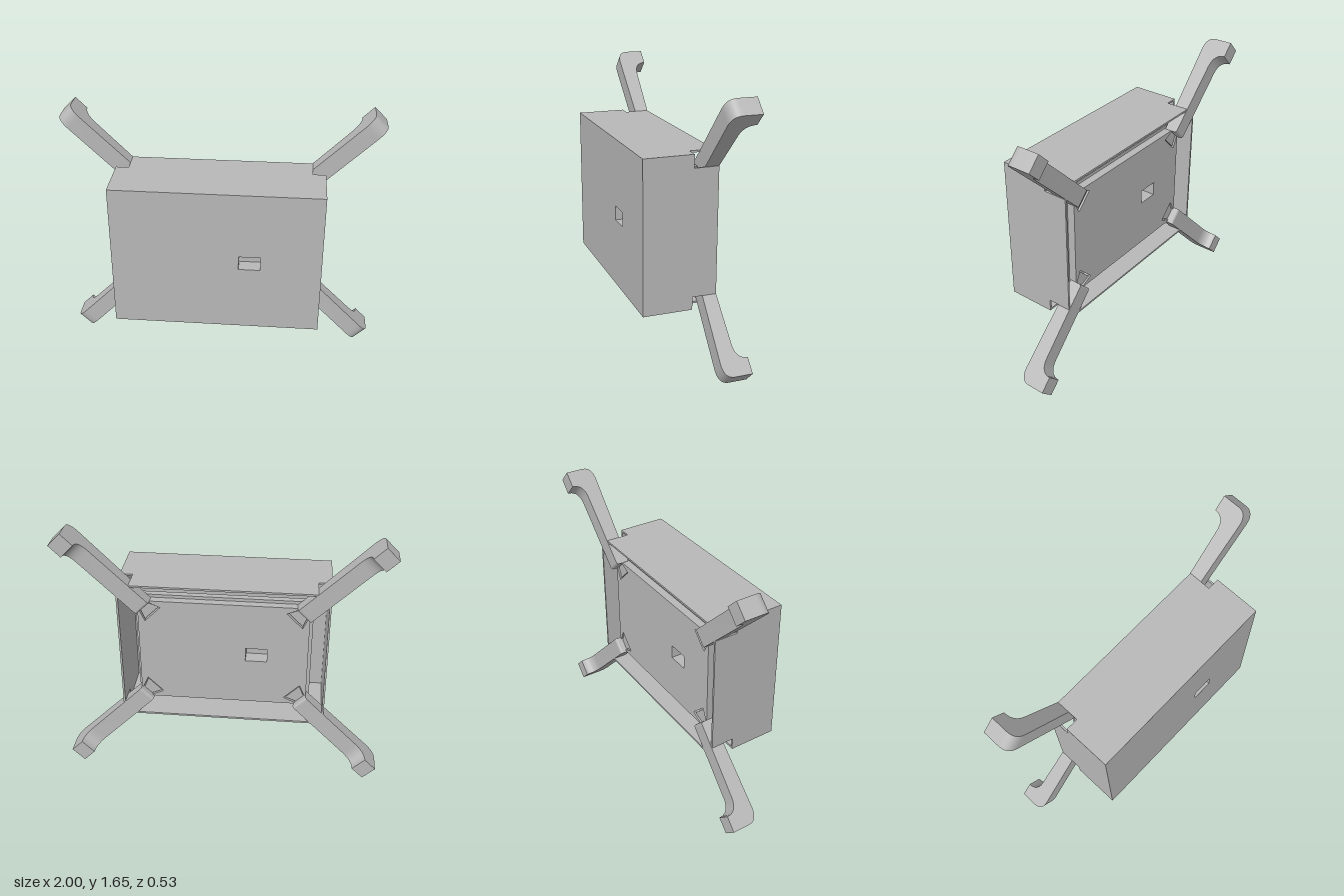
import * as THREE from 'three';
import { toCreasedNormals } from 'three/addons/utils/BufferGeometryUtils.js';

const CY = 0.83;             // height of the centre
const W = 0.645, H = 0.47;   // half width and half height of the case
const FRONT = 0.265, BACK = -0.19, T = 0.012;

const shapeOf = (pts) => new THREE.Shape(pts.map(([x, y]) => new THREE.Vector2(x, y)));
const pathOf = (pts) => new THREE.Path(pts.map(([x, y]) => new THREE.Vector2(x, y)));
const rect = (x, y, hw, hh) => [[x - hw, y - hh], [x + hw, y - hh], [x + hw, y + hh], [x - hw, y + hh]];
const extrude = (shape, depth) =>
  new THREE.ExtrudeGeometry(shape, { depth, bevelEnabled: false, curveSegments: 10 });

export function createModel() {
  const model = new THREE.Group();
  model.name = 'enclosureWithLegs';
  const grey = new THREE.MeshStandardMaterial({ color: 0xb8b8b8 });
  grey.name = 'grey';
  const add = (name, geo, x, y, z, parent = model) => {
    const mesh = new THREE.Mesh(geo, grey);
    mesh.name = name;
    mesh.position.set(x, y, z);
    parent.add(mesh);
    return mesh;
  };

  // Case walls, notched at the open back corners
  const wall = (half) => {
    const n = half - 0.08;
    return extrude(shapeOf([
      [-half, FRONT], [-half, -0.04], [-n, -0.04], [-n, BACK],
      [n, BACK], [n, -0.04], [half, -0.04], [half, FRONT],
    ]), T).rotateX(Math.PI / 2);
  };
  add('topWall', wall(W), 0, CY + H, 0);
  add('bottomWall', wall(W), 0, CY - H + T, 0);
  const side = wall(H).rotateZ(-Math.PI / 2);
  add('leftWall', side, W, CY, 0);
  add('rightWall', side, -W + T, CY, 0);

  // Front wall with its connector opening
  const front = shapeOf(rect(0, 0, W, H));
  front.holes.push(pathOf(rect(0.205, 0.002, 0.067, 0.045)));
  add('frontWall', extrude(front, T), 0, CY, FRONT - T);

  // Recessed sockets: a short sleeve closed by a floor with two pin holes
  const sleeve = shapeOf(rect(0, 0, 0.079, 0.057));
  sleeve.holes.push(pathOf(rect(0, 0, 0.067, 0.045)));
  const floor = shapeOf(rect(0, 0, 0.079, 0.057));
  for (const x of [-0.052, 0.017]) {
    floor.holes.push(new THREE.Path().absarc(x, 0, 0.008, 0, Math.PI * 2, true));
  }
  add('frontSocketSleeve', extrude(sleeve, 0.08), 0.205, CY + 0.002, FRONT - T - 0.08);
  add('frontSocketFloor', extrude(floor, 0.01), 0.205, CY + 0.002, FRONT - T - 0.09);

  // Back panel with an opening and dovetail slots in its corners
  const PW = 0.525, PH = 0.35;
  const dovetail = (cx, cy, grow) => {
    const a = Math.atan2(cy, cx) > 0 ? (cx > 0 ? 1 : 3) : (cx > 0 ? -1 : -3);
    const c = Math.cos(a * Math.PI / 4), s = Math.sin(a * Math.PI / 4);
    return [[-0.05, -0.035 - grow], [-0.05, 0.035 + grow], [-0.125 - grow, 0.065 + grow], [-0.125 - grow, -0.065 - grow]]
      .map(([u, v]) => [cx + u * c - v * s, cy + u * s + v * c]);
  };
  const corners = [[1, 1], [-1, 1], [-1, -1], [1, -1]];
  const opening = rect(-0.205, 0.002, 0.067, 0.045);
  const panel = shapeOf(rect(0, 0, PW, PH));
  panel.holes.push(pathOf(opening));
  for (const [sx, sy] of corners) panel.holes.push(pathOf(dovetail(sx * PW, sy * PH, 0.004)));
  add('backPanel', extrude(panel, 0.05), 0, CY, -0.15);

  // Slightly wider step in front of the back panel
  const step = shapeOf(rect(0, 0, PW + 0.02, PH + 0.02));
  step.holes.push(pathOf(opening));
  add('backPanelStep', extrude(step, 0.04), 0, CY, -0.1);
  add('backSocketFloor', extrude(floor, 0.01), -0.205, CY + 0.002, -0.06);

  // Leg profile: u runs outward to the tip, the foot turns to the back
  const profile = new THREE.Shape();
  profile.moveTo(-0.67, -0.108);
  profile.lineTo(-0.67, -0.175);
  profile.quadraticCurveTo(-0.67, -0.19, -0.65, -0.19);
  profile.lineTo(-0.19, -0.195);
  profile.quadraticCurveTo(-0.1, -0.198, -0.1, -0.27);
  profile.lineTo(0, -0.27);
  profile.lineTo(0, -0.16);
  profile.quadraticCurveTo(0, -0.095, -0.085, -0.095);
  profile.closePath();
  const legGeo = toCreasedNormals(
    extrude(profile, 0.11).translate(0, 0, -0.055).rotateX(Math.PI / 2), 0.6);

  corners.forEach(([sx, sy], i) => {
    const leg = new THREE.Group();
    leg.name = 'leg' + (i + 1);
    model.add(leg);
    const arm = add('legArm', legGeo, sx * 0.96, CY + sy * 0.787, 0, leg);
    arm.rotation.z = Math.PI / 4 + i * Math.PI / 2;
    add('legDovetail', extrude(shapeOf(dovetail(sx * PW, sy * PH, -0.004)), 0.06), 0, CY, -0.142, leg);
  });

  return model;
}
